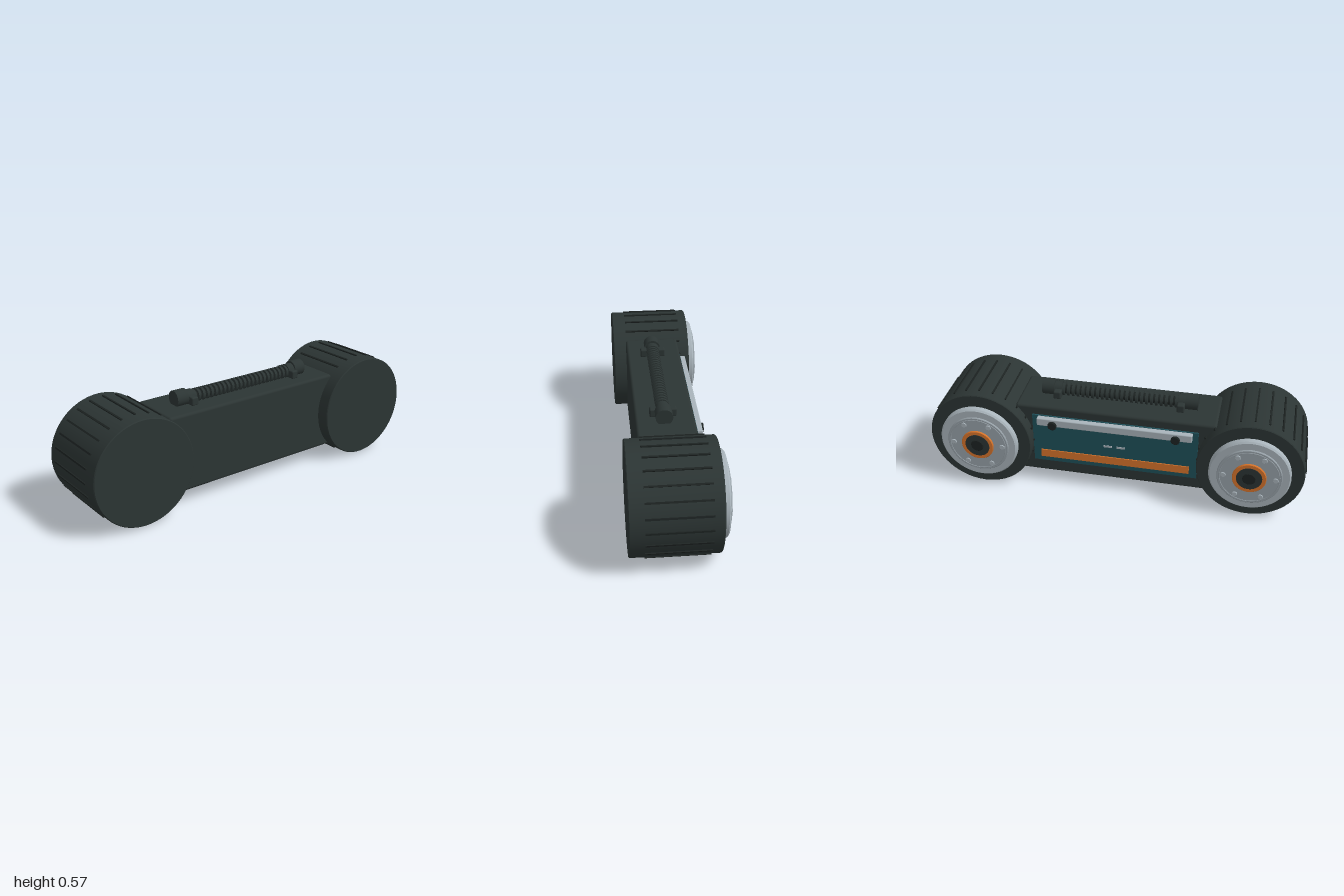
import * as THREE from 'three';
import { toCreasedNormals } from 'three/addons/utils/BufferGeometryUtils.js';
import { RoundedBoxGeometry } from 'three/addons/geometries/RoundedBoxGeometry.js';

const mat = (name, color) => {
  const m = new THREE.MeshStandardMaterial({ color });
  m.name = name;
  return m;
};

export function createModel() {
  const model = new THREE.Group();
  model.name = 'trackArm';

  const dark = mat('charcoal', 0x2c3534);
  const black = mat('black rubber', 0x1d2322);
  const silver = mat('silver', 0xa9b4bb);
  const steel = mat('steel', 0x98a2a9);
  const orange = mat('orange', 0xd9752b);
  const teal = mat('teal', 0x1f505a);

  const add = (parent, name, geo, material, x = 0, y = 0, z = 0) => {
    const mesh = new THREE.Mesh(geo, material);
    mesh.name = name;
    mesh.position.set(x, y, z);
    parent.add(mesh);
    return mesh;
  };

  // bevelled disc lying along the x axis, from x0 to x1
  const disc = (r, x0, x1, bevel = 0.003, sides = 48) => {
    const pts = [[0, x0], [r - bevel, x0], [r, x0 + bevel], [r, x1 - bevel], [r - bevel, x1], [0, x1]]
      .map(([a, b]) => new THREE.Vector2(a, b));
    return toCreasedNormals(new THREE.LatheGeometry(pts, sides).rotateZ(-Math.PI / 2), 0.5);
  };
  const box = (w, h, d, r) => new RoundedBoxGeometry(w, h, d, 2, r);

  // main beam between the drums
  add(model, 'beam', box(0.295, 0.415, 1.06, 0.015), dark, 0.0275, 0.2875, 0);

  // wheel drums with tread ribs and a layered hub on the right side
  for (const s of [-1, 1]) {
    const wheel = new THREE.Group();
    wheel.name = s > 0 ? 'frontWheel' : 'rearWheel';
    wheel.position.set(0, 0.285, 0.717);
    wheel.position.z *= s;
    model.add(wheel);

    add(wheel, 'drum', disc(0.277, -0.187, 0.245, 0.004, 64), dark);
    for (let i = 0; i < 24; i++) {
      const a = (i * Math.PI) / 12;
      const rib = add(wheel, 'treadRib', new THREE.BoxGeometry(0.309, 0.012, 0.009), black,
        0.0175, 0.277 * Math.sin(a), 0.277 * Math.cos(a));
      rib.rotation.x = Math.PI / 2 - a;
    }

    add(wheel, 'hubRim', disc(0.21, -0.222, -0.18, 0.008), silver);
    add(wheel, 'hubPlate', disc(0.166, -0.232, -0.22), steel);
    add(wheel, 'hubGroove', new THREE.TorusGeometry(0.152, 0.0025, 6, 48).rotateY(Math.PI / 2), steel, -0.232);
    for (let i = 0; i < 6; i++) {
      const a = (i * Math.PI) / 3;
      add(wheel, 'hubBolt', disc(0.015, -0.237, -0.23, 0.002, 12), silver,
        0, 0.133 * Math.sin(a), 0.133 * Math.cos(a));
    }
    add(wheel, 'hubRing', disc(0.087, -0.2425, -0.23), orange);
    add(wheel, 'hubCap', disc(0.066, -0.244, -0.24, 0.001), dark);
    add(wheel, 'hubPin', disc(0.034, -0.248, -0.24), black);
  }

  // side panel with rail, stripe and small marker dashes
  add(model, 'sidePanel', new THREE.BoxGeometry(0.009, 0.29, 0.88), teal, -0.124, 0.3, 0);
  add(model, 'sideRail', box(0.036, 0.045, 0.82, 0.006), silver, -0.138, 0.42, 0);
  add(model, 'sideStripe', new THREE.BoxGeometry(0.008, 0.045, 0.8), orange, -0.1295, 0.205, 0);
  for (const z of [-0.035, 0.035])
    add(model, 'markerDash', new THREE.BoxGeometry(0.004, 0.012, 0.045), silver, -0.129, 0.295, z);
  for (const z of [-0.325, 0.325])
    add(model, 'railBolt', disc(0.024, -0.168, -0.15, 0.003, 16), black, 0, 0.408, z);

  // ribbed conduit on top with clamps and end caps
  const conduit = new THREE.Group();
  conduit.name = 'conduit';
  conduit.position.x = 0.035;
  model.add(conduit);
  const alongZ = (r, len, sides = 24) => new THREE.CylinderGeometry(r, r, len, sides).rotateX(Math.PI / 2);
  add(conduit, 'conduitCore', alongZ(0.024, 0.7), black, 0, 0.52, 0);
  for (let i = 0; i < 24; i++)
    add(conduit, 'conduitRing', alongZ(0.035, 0.014), dark, 0, 0.52, (i - 11.5) * 0.0262);
  for (const s of [-1, 1]) {
    add(conduit, 'conduitClamp', box(0.135, 0.045, 0.04, 0.008), dark, 0, 0.514, s * 0.328);
    add(conduit, 'conduitCollar', alongZ(0.037, 0.04), dark, 0, 0.523, s * 0.33);
    add(conduit, 'conduitEndCap', alongZ(0.043, 0.066), dark, 0, 0.528, s * 0.382);
  }
  return model;
}
